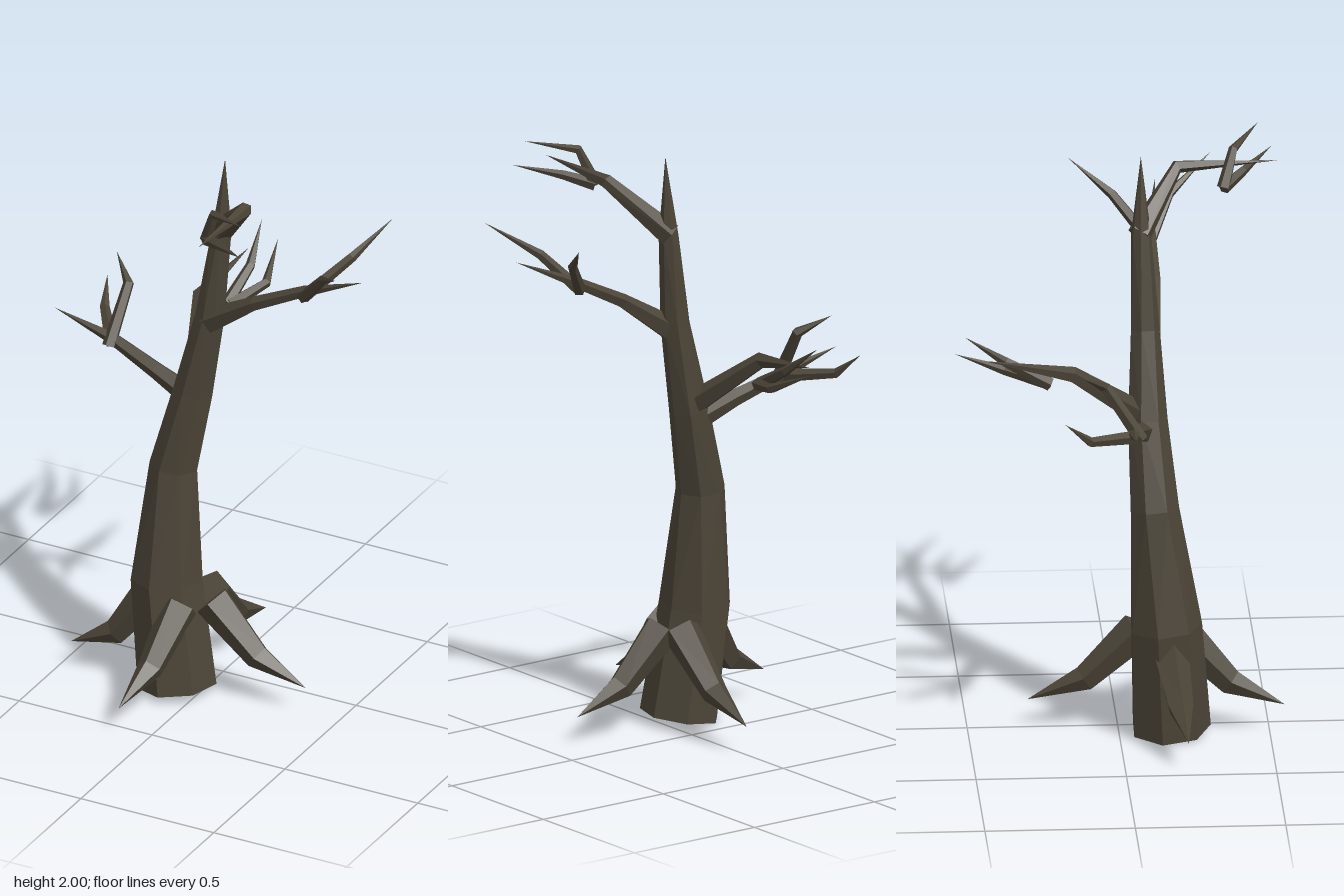
import * as THREE from 'three';

const bark = new THREE.MeshStandardMaterial({ color: 0x4b4437, flatShading: true });
bark.name = 'bark';

// Tapering faceted limb. Each point is [x, y, z, radius, twist]; radius 0 ends in a tip.
function limb(name, points, sides, start = 0) {
  const centers = points.map(p => new THREE.Vector3(p[0], p[1], p[2]));
  const last = points.length - 1;
  let side = null;
  const rings = points.map(([, , , r, twist = 0], i) => {
    const dir = centers[Math.min(i + 1, last)].clone().sub(centers[Math.max(i - 1, 0)]).normalize();
    if (!side) side = Math.abs(dir.y) > 0.9 ? new THREE.Vector3(1, 0, 0) : new THREE.Vector3(0, 1, 0);
    side = side.clone().addScaledVector(dir, -side.dot(dir)).normalize();
    const other = dir.clone().cross(side);
    return Array.from({ length: sides }, (_, k) => {
      const a = start + twist + k / sides * Math.PI * 2;
      return centers[i].clone()
        .addScaledVector(side, Math.cos(a) * r)
        .addScaledVector(other, Math.sin(a) * r);
    });
  });
  const verts = [];
  const tri = (...corners) => corners.forEach(c => verts.push(c.x, c.y, c.z));
  for (let k = 0; k < sides; k++) {
    const n = (k + 1) % sides;
    tri(centers[0], rings[0][n], rings[0][k]);
    for (let i = 0; i < last; i++) {
      const a = rings[i], b = rings[i + 1];
      tri(a[k], a[n], b[k]);
      if (points[i + 1][3] > 0) tri(a[n], b[n], b[k]);
    }
  }
  const geo = new THREE.BufferGeometry();
  geo.setAttribute('position', new THREE.Float32BufferAttribute(verts, 3));
  geo.computeVertexNormals();
  const mesh = new THREE.Mesh(geo, bark);
  mesh.name = name;
  return mesh;
}

export function createModel() {
  const tree = new THREE.Group();
  tree.name = 'deadTree';

  // Leaning, twisted trunk
  tree.add(limb('trunk', [
    [-0.08, 0.022, 0.17, 0.135],
    [-0.13, 0.4, 0.15, 0.123],
    [-0.122, 0.81, 0.115, 0.083, 0.75],
    [-0.06, 1.1, 0.095, 0.068, 0.8],
    [0.0, 1.4, 0.09, 0.05, 0.9],
    [0.036, 1.72, 0.08, 0.034, 1.1],
    [0.05, 1.99, 0.08, 0],
  ], 7, 0.2));

  // Four roots spreading from the trunk above its foot
  const roots = {
    rootLeft: [[0.03, 0.345, 0.13], [0.2, 0.175, 0.13], [0.38, 0.1, 0.13]],
    rootRight: [[-0.18, 0.335, 0.16], [-0.3, 0.17, 0.19], [-0.46, 0.1, 0.21]],
    rootFront: [[-0.05, 0.34, 0.21], [-0.075, 0.175, 0.37], [-0.1, 0.1, 0.55]],
    rootBack: [[-0.01, 0.345, 0.07], [-0.01, 0.175, -0.11], [0, 0.1, -0.3]],
  };
  for (const [name, p] of Object.entries(roots)) {
    tree.add(limb(name, p.map((q, i) => [...q, [0.066, 0.045, 0][i]]), 5));
  }

  // Main branches, each with its twigs
  const branches = {
    leftBranch: [
      [[0, 1.375, 0.1, 0.045], [0.19, 1.505, 0.13, 0.025], [0.38, 1.6, 0.13, 0.02], [0.61, 1.705, 0.16, 0]],
      [[0.37, 1.575, 0.13, 0.022], [0.49, 1.7, 0.01, 0.017], [0.57, 1.8, -0.13, 0]],
      [[0.37, 1.575, 0.13, 0.022], [0.48, 1.7, 0.2, 0.017], [0.605, 1.8, 0.345, 0]],
    ],
    rightBranch: [
      [[-0.07, 1.06, 0.08, 0.042], [-0.22, 1.115, 0.06, 0.03], [-0.4, 1.175, 0.03, 0.022], [-0.62, 1.23, 0.025, 0]],
      [[-0.4, 1.155, 0.055, 0.024], [-0.39, 1.34, -0.065, 0.019], [-0.475, 1.4, -0.14, 0]],
      [[-0.4, 1.165, 0.04, 0.024], [-0.51, 1.19, -0.12, 0.017], [-0.545, 1.265, -0.205, 0]],
    ],
    backBranch: [
      [[-0.07, 1.13, 0.06, 0.042], [-0.17, 1.305, -0.16, 0.028], [-0.145, 1.35, -0.45, 0]],
      [[-0.11, 1.25, -0.23, 0.023], [-0.1, 1.33, -0.38, 0.017], [-0.13, 1.43, -0.515, 0]],
      [[-0.1, 1.25, -0.23, 0.023], [-0.04, 1.28, -0.38, 0.017], [-0.085, 1.355, -0.545, 0]],
    ],
    topBranch: [
      [[0.035, 1.72, 0.075, 0.042], [0.195, 1.9, 0.21, 0.024], [0.195, 1.915, 0.545, 0]],
      [[0.13, 1.845, 0.36, 0.023], [0.21, 1.875, 0.43, 0.016], [0.345, 1.91, 0.53, 0]],
      [[0.13, 1.845, 0.36, 0.023], [0.175, 1.965, 0.395, 0.016], [0.33, 2.0, 0.485, 0]],
    ],
  };
  for (const [name, parts] of Object.entries(branches)) {
    const group = new THREE.Group();
    group.name = name;
    parts.forEach((p, i) => group.add(limb(i ? 'twig' + i : 'bough', p, 5)));
    tree.add(group);
  }
  return tree;
}
